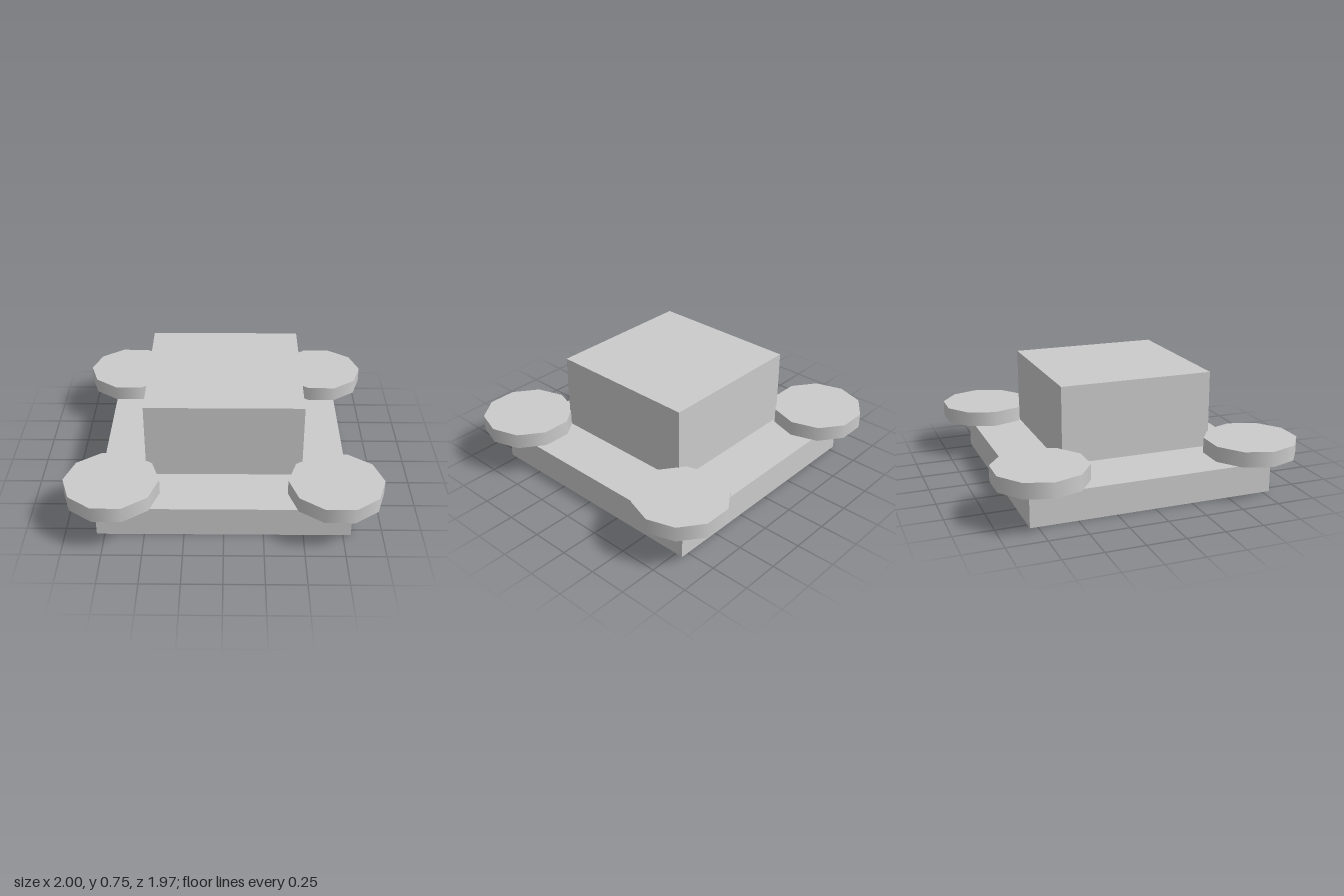
import * as THREE from 'three';

export function createModel() {
  const group = new THREE.Group();
  const material = new THREE.MeshStandardMaterial({ color: 0xcccccc });

  const add = (name, geometry, x, y, z) => {
    const mesh = new THREE.Mesh(geometry, material);
    mesh.name = name;
    mesh.position.set(x, y, z);
    group.add(mesh);
  };

  // Square base slab
  add('base', new THREE.BoxGeometry(1.6, 0.2, 1.6), 0, 0.1, 0);

  // Central block, floating just above the base
  add('body', new THREE.BoxGeometry(1, 0.5, 1), 0, 0.5, 0);

  // Ten-sided corner discs, with corners pointing along x
  const disc = new THREE.CylinderGeometry(0.3, 0.3, 0.1, 10).rotateY(Math.PI / 2);
  for (const [zName, z] of [['front', 0.7], ['back', -0.7]]) {
    for (const [xName, x] of [['Left', 0.7], ['Right', -0.7]]) {
      add(`${zName}${xName}Disc`, disc, x, 0.3, z);
    }
  }

  return group;
}
